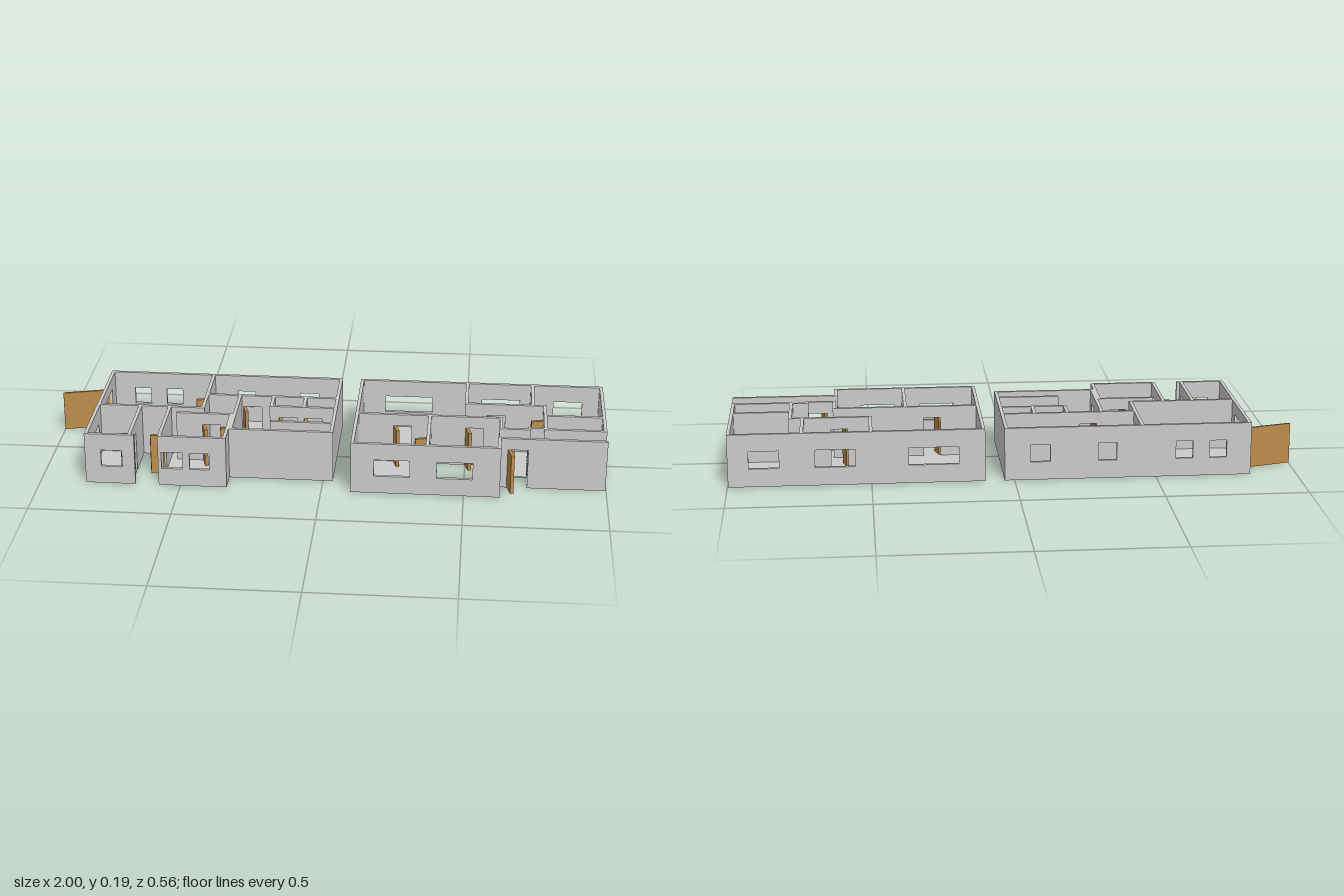
import * as THREE from 'three';

const H = 0.19, T = 0.012, DOOR_H = 0.147, FLOOR_H = 0.004;
const SILL = 0.065, HEAD = 0.128;
const wallMat = new THREE.MeshStandardMaterial({ color: 0xcccccc });
const doorMat = new THREE.MeshStandardMaterial({ color: 0xbc8c4c });

// Elevation of a wall from a to b: doors notch the base, windows are holes
function elevation(a, b, doors, windows) {
  const s = new THREE.Shape();
  s.moveTo(a, 0);
  for (const [d0, d1] of doors) {
    s.lineTo(d0, 0); s.lineTo(d0, DOOR_H); s.lineTo(d1, DOOR_H); s.lineTo(d1, 0);
  }
  s.lineTo(b, 0); s.lineTo(b, H); s.lineTo(a, H); s.closePath();
  for (const [w0, w1] of windows) {
    const h = new THREE.Path();
    h.moveTo(w0, SILL); h.lineTo(w0, HEAD); h.lineTo(w1, HEAD); h.lineTo(w1, SILL); h.closePath();
    s.holes.push(h);
  }
  return new THREE.ExtrudeGeometry(s, { depth: T, bevelEnabled: false }).translate(0, 0, -T / 2);
}

// Wall running along x at depth z
function wallX(group, name, z, a, b, doors = [], windows = []) {
  const m = new THREE.Mesh(elevation(a, b, doors, windows), wallMat);
  m.position.z = z;
  m.name = name;
  group.add(m);
}

// Wall running along z at position x (drawn along -z, then turned)
function wallZ(group, name, x, a, b, doors = [], windows = []) {
  const flip = (list) => list.map(([p, q]) => [-q, -p]).reverse();
  const m = new THREE.Mesh(elevation(-b, -a, flip(doors), flip(windows)), wallMat);
  m.rotation.y = Math.PI / 2;
  m.position.x = x;
  m.name = name;
  group.add(m);
}

// Floor slab from a plan outline of [x, z] corners
function floor(group, pts) {
  const s = new THREE.Shape(pts.map(([x, z]) => new THREE.Vector2(x, -z)));
  const g = new THREE.ExtrudeGeometry(s, { depth: FLOOR_H, bevelEnabled: false });
  g.rotateX(-Math.PI / 2).translate(0, 0.001, 0);
  const m = new THREE.Mesh(g, wallMat);
  m.name = 'floor';
  group.add(m);
}

// Door leaf standing 75 degrees open from its hinge
function door(group, name, x, z, inZWall, len = 0.05, thick = 0.012) {
  const g = new THREE.BoxGeometry(len, DOOR_H, thick).translate(len / 2, DOOR_H / 2, 0);
  const m = new THREE.Mesh(g, doorMat);
  m.position.set(x, 0, z);
  m.rotation.y = THREE.MathUtils.degToRad(inZWall ? -165 : -75);
  m.name = name;
  group.add(m);
}

function westHouse() {
  const g = new THREE.Group();
  g.name = 'westHouse';
  floor(g, [[-0.837, -0.28], [0.035, -0.28], [0.035, 0.2], [-0.335, 0.2], [-0.335, 0.28], [-0.577, 0.28],
    [-0.577, 0.03], [-0.672, 0.03], [-0.672, 0.28], [-0.837, 0.28]]);

  // Outer walls
  wallX(g, 'backWall', -0.274, -0.837, 0.035, [],
    [[-0.75, -0.69], [-0.63, -0.57], [-0.36, -0.295], [-0.125, -0.055]]);
  wallZ(g, 'gableWall', -0.831, -0.28, 0.28, [[-0.2, -0.03]], [[0.07, 0.145]]);
  wallZ(g, 'innerGableWall', 0.029, -0.28, 0.2);
  wallX(g, 'frontWall', 0.194, -0.335, 0.035);
  wallX(g, 'cornerRoomFrontWall', 0.274, -0.837, -0.66, [], [[-0.78, -0.705]]);
  wallZ(g, 'cornerRoomSideWall', -0.678, 0.02, 0.28, [[0.17, 0.23]]);
  wallX(g, 'wingFrontWall', 0.274, -0.577, -0.335, [], [[-0.565, -0.49], [-0.465, -0.395]]);
  wallZ(g, 'wingLeftWall', -0.571, 0.02, 0.28, [[0.17, 0.23]]);
  wallZ(g, 'wingRightWall', -0.341, 0.07, 0.28, [[0.09, 0.15]]);

  // Partitions
  wallX(g, 'hallFrontWall', 0.024, -0.837, -0.445);
  wallZ(g, 'hallPartition', -0.45, -0.28, 0.03, [[-0.15, -0.09]]);
  wallX(g, 'backRoomPartition', -0.096, -0.45, 0.035, [[-0.31, -0.25]]);
  wallZ(g, 'corridorPartition', -0.329, -0.096, 0.2, [[0.09, 0.15]]);
  wallX(g, 'wingPartition', 0.072, -0.54, -0.33, [[-0.44, -0.38]]);
  wallZ(g, 'closetLeftWall', -0.205, -0.096, -0.004);
  wallZ(g, 'closetPartition', -0.087, -0.096, -0.004);
  wallX(g, 'closetFrontWall', -0.01, -0.21, 0.035, [[-0.17, -0.11], [-0.078, -0.02]]);
  wallX(g, 'livingPartition', 0.118, -0.195, 0.035, [[-0.035, 0.018]]);

  // Doors
  door(g, 'garageDoor', -0.835, -0.2, true, 0.172, 0.008);
  for (const [x, z, side] of [[-0.678, 0.17, 1], [-0.571, 0.17, 1], [-0.45, -0.15, 1], [-0.329, 0.09, 1],
    [-0.312, -0.09, 0], [-0.44, 0.075, 0], [-0.172, -0.006, 0], [-0.081, -0.006, 0], [-0.036, 0.12, 0]]) {
    door(g, 'door', x, z, !!side);
  }
  return g;
}

function eastHouse() {
  const g = new THREE.Group();
  g.name = 'eastHouse';
  floor(g, [[0.103, -0.28], [0.998, -0.28], [0.998, 0.114], [0.785, 0.114], [0.785, 0.105], [0.73, 0.105],
    [0.73, 0.12], [0.62, 0.12], [0.62, 0.03], [0.377, 0.03], [0.377, 0.28], [0.103, 0.28]]);

  // Outer walls
  wallX(g, 'backWall', -0.274, 0.103, 0.998, [], [[0.195, 0.37], [0.555, 0.695], [0.82, 0.925]]);
  wallZ(g, 'innerGableWall', 0.109, -0.28, 0.28);
  wallZ(g, 'gableWall', 0.992, -0.28, 0.114, [], [[0.015, 0.085]]);
  wallX(g, 'frontWall', 0.274, 0.103, 0.627, [], [[0.185, 0.31], [0.405, 0.53]]);
  wallX(g, 'bedroomFrontWall', 0.108, 0.78, 0.998);
  wallX(g, 'entryFrontWall', 0.114, 0.62, 0.73, [[0.652, 0.722]]);
  wallX(g, 'entryStepWall', 0.1, 0.72, 0.79);
  wallZ(g, 'entrySideWall', 0.626, 0.02, 0.12);

  // Courtyard walls
  wallZ(g, 'courtyardSideWall', 0.621, 0.187, 0.28);
  wallX(g, 'gardenWall', 0.193, 0.615, 0.998, [[0.655, 0.722]]);

  // Partitions
  wallX(g, 'hallFrontWall', 0.024, 0.103, 0.632, [[0.245, 0.305], [0.503, 0.563]]);
  wallZ(g, 'wingSideWall', 0.371, 0.02, 0.28, [[0.122, 0.182]]);
  wallZ(g, 'backRoomLeftWall', 0.5, -0.28, -0.085);
  wallX(g, 'backRoomFrontWall', -0.092, 0.495, 0.79, [[0.58, 0.64]]);
  wallZ(g, 'backRoomRightWall', 0.74, -0.28, -0.09);
  wallZ(g, 'bedroomSideWall', 0.783, -0.098, 0.114, [[-0.062, -0.016], [0.01, 0.07]]);
  wallX(g, 'bedroomPartition', -0.008, 0.777, 0.998);

  // Doors
  for (const [x, z, side] of [[0.371, 0.122, 1], [0.783, -0.06, 1], [0.783, 0.01, 1],
    [0.246, 0.026, 0], [0.504, 0.026, 0], [0.581, -0.088, 0], [0.656, 0.122, 0], [0.656, 0.197, 0]]) {
    door(g, 'door', x, z, !!side);
  }
  return g;
}

export function createModel() {
  const model = new THREE.Group();
  model.name = 'floorPlanHouses';
  model.add(westHouse(), eastHouse());
  return model;
}
